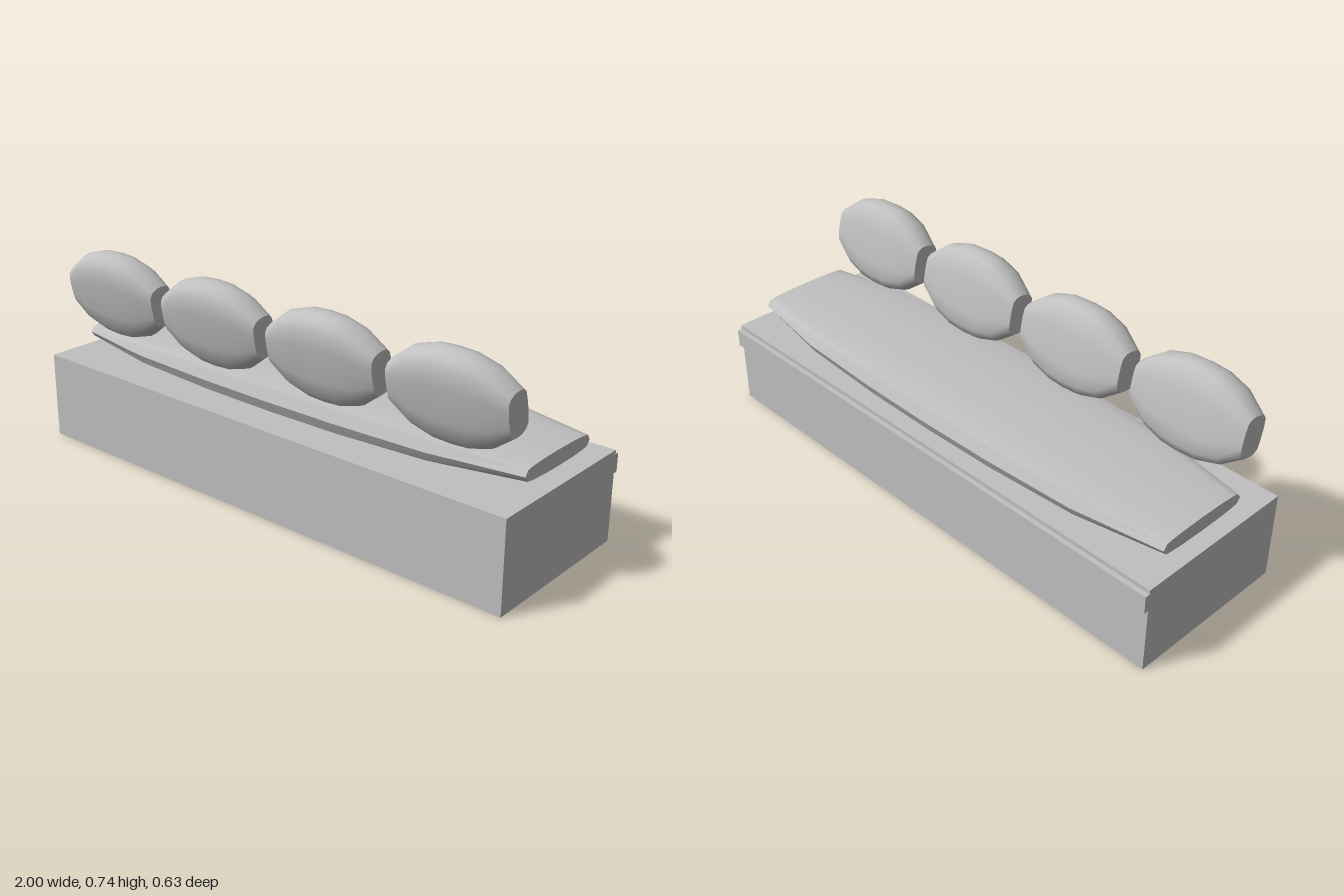
import * as THREE from 'three';
import { toCreasedNormals } from 'three/addons/utils/BufferGeometryUtils.js';

// Swelling along a cushion: [fraction of half length, height scale, depth scale]
const SWELL = [[0, 1, 1], [0.3, 0.975, 0.985], [0.66, 0.82, 0.92], [1, 0.46, 0.71]];

// Cushion lofted along x from a quarter section of [z, y] points (side to crown)
function cushionGeometry(halfLength, quarter) {
  const n = quarter.length - 1;
  const ring = [];
  for (let i = 0; i < n; i++) ring.push(quarter[i]);
  for (let i = n; i > 0; i--) ring.push([-quarter[i][0], quarter[i][1]]);
  for (let i = 0; i < n; i++) ring.push([-quarter[i][0], -quarter[i][1]]);
  for (let i = n; i > 0; i--) ring.push([quarter[i][0], -quarter[i][1]]);

  const stations = [
    ...SWELL.slice(1).reverse().map(([t, sy, sz]) => [-t, sy, sz]),
    ...SWELL,
  ];
  const count = ring.length;
  const positions = [];
  const index = [];
  for (const [t, sy, sz] of stations) {
    for (const [z, y] of ring) positions.push(t * halfLength, y * sy, z * sz);
  }
  for (let i = 0; i < stations.length - 1; i++) {
    for (let j = 0; j < count; j++) {
      const k = (j + 1) % count;
      const a = i * count + j, b = i * count + k;
      index.push(a, a + count, b + count, a, b + count, b);
    }
  }
  // Flat end caps
  const last = (stations.length - 1) * count;
  for (let j = 1; j < count - 1; j++) {
    index.push(0, j, j + 1);
    index.push(last, last + j + 1, last + j);
  }
  const geometry = new THREE.BufferGeometry();
  geometry.setAttribute('position', new THREE.Float32BufferAttribute(positions, 3));
  geometry.setIndex(index);
  return toCreasedNormals(geometry, THREE.MathUtils.degToRad(48));
}

export function createModel() {
  const model = new THREE.Group();
  model.name = 'cushionedBench';
  const grey = new THREE.MeshStandardMaterial({ color: 0xc0c0c0 });
  grey.name = 'plain grey';

  const add = (name, geometry, x, y, z) => {
    const mesh = new THREE.Mesh(geometry, grey);
    mesh.name = name;
    mesh.position.set(x, y, z);
    model.add(mesh);
    return mesh;
  };

  // Box base and the strip along its back
  add('base', new THREE.BoxGeometry(2, 0.32, 0.616), 0, 0.16, 0.01);
  add('backStrip', new THREE.BoxGeometry(2, 0.065, 0.017), 0, 0.272, -0.3065);

  // Long seat cushion
  const seatSection = [[0.255, 0], [0.236, 0.041], [0.2, 0.05], [0.12, 0.057], [0, 0.06]];
  add('seatCushion', cushionGeometry(0.96, seatSection), 0, 0.38, -0.016);

  // Four tilted back pillows
  const pillowSection = [[0.069, 0], [0.068, 0.06], [0.063, 0.115], [0.044, 0.144], [0.02, 0.155], [0, 0.157]];
  const pillow = cushionGeometry(0.218, pillowSection);
  for (let i = 0; i < 4; i++) {
    const mesh = add('backPillow' + (i + 1), pillow, -0.736 + i * 0.488, 0.585, 0.2);
    mesh.rotation.x = 0.2;
  }
  return model;
}
